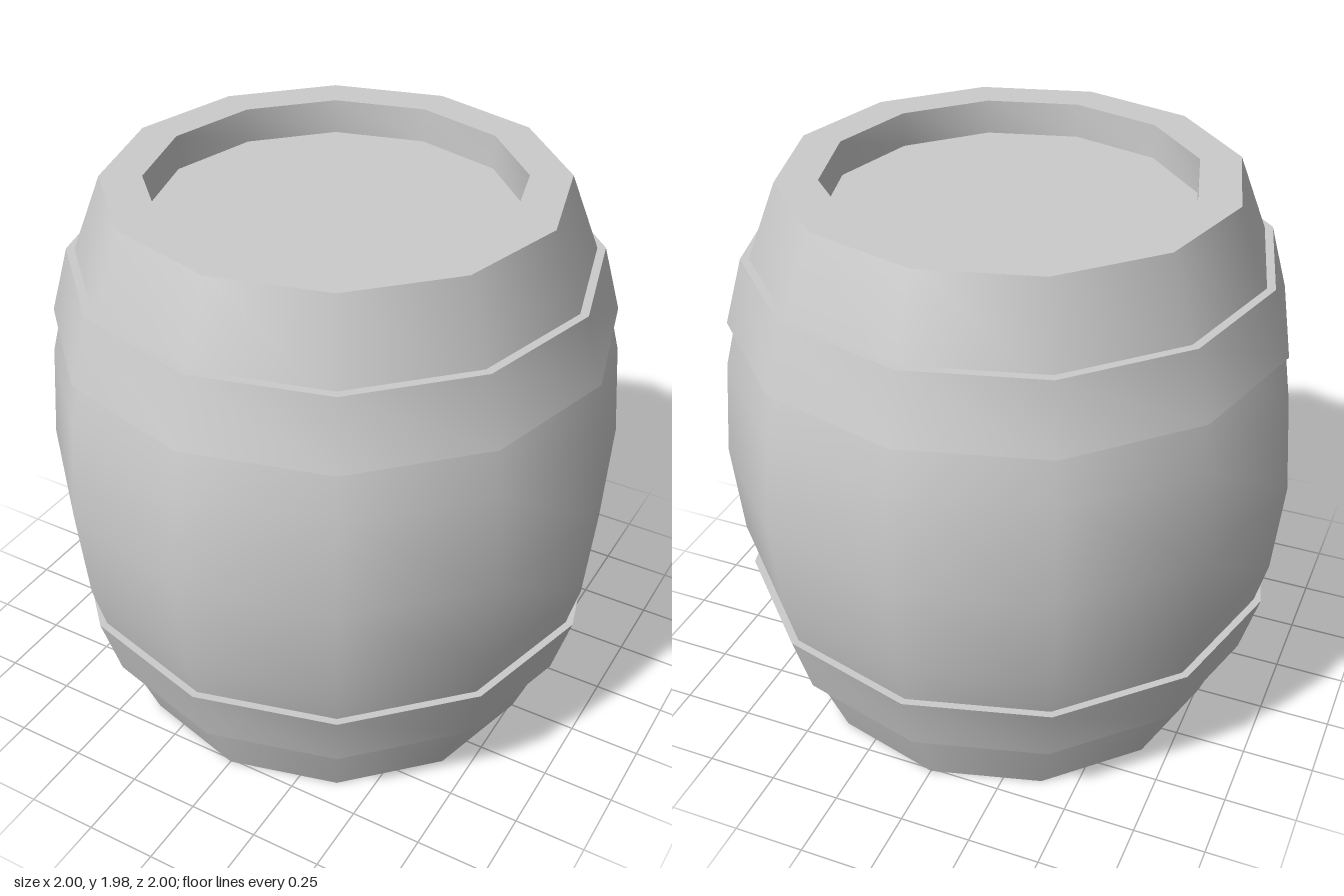
import * as THREE from 'three';
import { toCreasedNormals } from 'three/addons/utils/BufferGeometryUtils.js';

const SIDES = 12;
const HEIGHT = 1.98;
const RECESS = 0.12;

const material = new THREE.MeshStandardMaterial({ color: 0xcccccc });

// Spin a [radius, y] profile, keeping rims sharp and the staves smooth
function turned(name, profile) {
  const points = profile.map(([r, y]) => new THREE.Vector2(r, y));
  const geometry = toCreasedNormals(new THREE.LatheGeometry(points, SIDES), 0.8);
  const mesh = new THREE.Mesh(geometry, material);
  mesh.name = name;
  return mesh;
}

// Mirror a profile about mid-height, reversed so it still runs upward outside
const flip = (profile) => profile.map(([r, y]) => [r, HEIGHT - y]).reverse();

export function createModel() {
  const barrel = new THREE.Group();
  barrel.name = 'barrel';

  // Bulging body with a recessed head at both ends
  const lowerHalf = [
    [0, RECESS], [0.62, RECESS], [0.62, 0], [0.76, 0],
    [0.885, 0.32], [0.97, 0.65],
  ];
  barrel.add(turned('body', [...lowerHalf, [1, HEIGHT / 2], ...flip(lowerHalf)]));

  // Two slanted hoops, standing slightly proud of the body
  const hoop = [[0.84, 0.26], [0.89, 0.26], [0.955, 0.49], [0.9, 0.49], [0.84, 0.26]];
  barrel.add(turned('lowerHoop', hoop));
  barrel.add(turned('upperHoop', flip(hoop)));

  return barrel;
}
